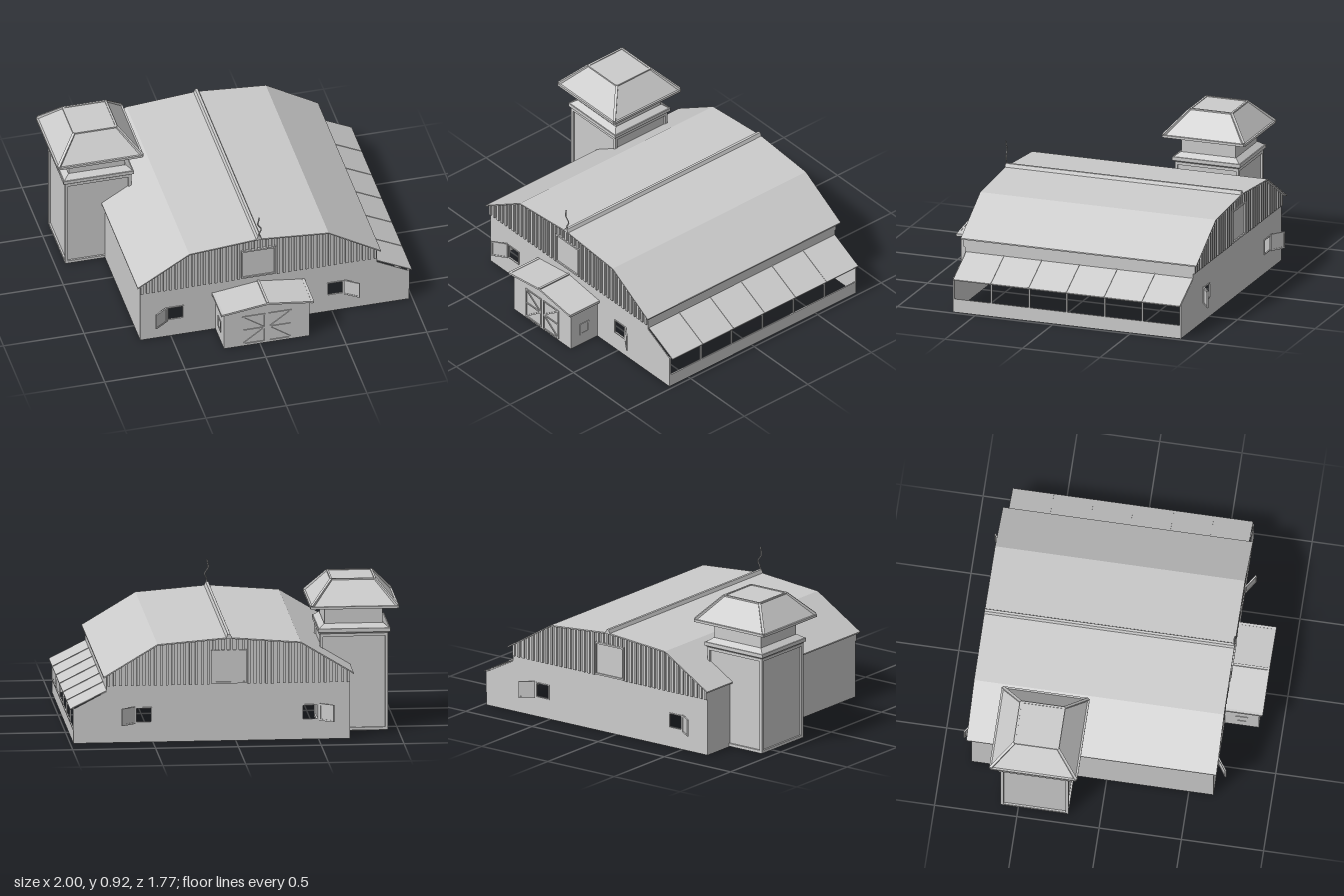
import * as THREE from 'three';

const mat = new THREE.MeshStandardMaterial({ color: 0xcccccc, flatShading: true, side: THREE.DoubleSide });
const V = (x, y, z) => new THREE.Vector3(x, y, z);

function add(parent, name, geo) {
  const m = new THREE.Mesh(geo, mat);
  m.name = name;
  parent.add(m);
  return m;
}
// box given by its min and max corners
function box(parent, name, x0, x1, y0, y1, z0, z1) {
  const m = add(parent, name, new THREE.BoxGeometry(x1 - x0, y1 - y0, z1 - z0));
  m.position.set((x0 + x1) / 2, (y0 + y1) / 2, (z0 + z1) / 2);
  return m;
}
// square bar between two points
function bar(parent, name, a, b, w = 0.012) {
  const m = new THREE.Mesh(new THREE.BoxGeometry(w, w, a.distanceTo(b)), mat);
  m.name = name;
  m.position.copy(a).lerp(b, 0.5);
  m.lookAt(b);
  parent.add(m);
}
// outline extruded along z, with optional rectangular holes [x0, x1, y0, y1]
function slab(parent, name, pts, z0, z1, holes = []) {
  const s = new THREE.Shape(pts.map(p => new THREE.Vector2(...p)));
  for (const [a, b, c, d] of holes)
    s.holes.push(new THREE.Path([[a, c], [a, d], [b, d], [b, c]].map(p => new THREE.Vector2(...p))));
  const g = new THREE.ExtrudeGeometry(s, { depth: z1 - z0, bevelEnabled: false });
  return add(parent, name, g.translate(0, 0, z0));
}
// thin roof that follows a line of points
function roofSheet(parent, name, line, t, z0, z1) {
  const lower = line.map(([x, y]) => [x, y - t]).reverse();
  return slab(parent, name, [...line, ...lower], z0, z1);
}
// rectangular picture-frame facing z
function frame(parent, name, x0, x1, y0, y1, z, w, d) {
  slab(parent, name, [[x0, y0], [x1, y0], [x1, y1], [x0, y1]], z - d / 2, z + d / 2,
    [[x0 + w, x1 - w, y0 + w, y1 - w]]);
}
// square frustum from half-width a (bottom) to b (top)
function frustum(parent, name, a, b, y0, y1, open = true) {
  const g = new THREE.CylinderGeometry(b * Math.SQRT2, a * Math.SQRT2, y1 - y0, 4, 1, open);
  g.rotateY(Math.PI / 4).translate(0, (y0 + y1) / 2, 0);
  return add(parent, name, g);
}

const CX = 0.043;
const roofLine = [[-0.71, 0.41], [-0.39, 0.605], [CX, 0.64], [0.475, 0.605], [0.8, 0.41]];
function roofY(x) {
  for (let i = 1; i < roofLine.length; i++) {
    const [a, b] = [roofLine[i - 1], roofLine[i]];
    if (x <= b[0]) return a[1] + (b[1] - a[1]) * (x - a[0]) / (b[0] - a[0]);
  }
  return 0.41;
}

// gable wall with windows, shutters, hatch and battens; s is the outward z direction
function gable(parent, s) {
  const g = new THREE.Group();
  g.name = s > 0 ? 'frontGable' : 'backGable';
  const z = s > 0 ? 0.65 : -0.82;
  const [l, r] = s > 0 ? [-0.52, 0.57] : [-0.5, 0.605];
  const windows = [[l, l + 0.1, 0.12, 0.215], [r - 0.1, r, 0.12, 0.215]];
  const base = s > 0 ? [[-0.69, 0], [-0.21, 0], [-0.21, 0.255], [CX, 0.295], [0.295, 0.255], [0.295, 0]] : [[-0.69, 0]];
  const outline = [...base, [0.98, 0], [0.98, 0.21], [0.78, 0.315], [0.78, 0.415], [0.475, 0.598],
    [CX, 0.633], [-0.39, 0.598], [-0.69, 0.415]];
  slab(g, 'gableWall', outline, Math.min(z, z - s * 0.006), Math.max(z, z - s * 0.006), windows);
  for (const [x0, x1, y0, y1] of windows) frame(g, 'windowFrame', x0, x1, y0, y1, z, 0.006, 0.01);
  // shutters swung open on the outer side of each window
  for (const [hx, d] of [[l, -1], [r, 1]]) {
    const p = new THREE.Group();
    p.name = 'shutter';
    box(p, 'shutterPanel', 0, 0.1, 0.12, 0.215, -0.002, 0.002);
    frame(p, 'shutterFrame', 0, 0.1, 0.115, 0.22, 0, 0.01, 0.009);
    p.position.set(hx + d * 0.005, 0, z + s * 0.005);
    p.rotation.y = -Math.atan2(s * 0.055, d * 0.08);
    g.add(p);
  }
  // vertical battens
  for (let i = 0; i < 42; i++) {
    const x = -0.68 + i * 0.0353;
    if (x > CX - 0.11 && x < CX + 0.1) {
      box(g, 'batten', x - 0.008, x + 0.008, 0.56, roofY(x) - 0.006, z - 0.012, z + 0.012);
    } else box(g, 'batten', x - 0.008, x + 0.008, 0.35, roofY(x) - 0.006, z - 0.012, z + 0.012);
  }
  // loft hatch
  box(g, 'hatch', CX - 0.1, CX + 0.1, 0.362, 0.553, z - 0.007, z + 0.007);
  frame(g, 'hatchFrame', CX - 0.107, CX + 0.107, 0.355, 0.56, z, 0.01, 0.03);
  parent.add(g);
}

function porch(parent) {
  const g = new THREE.Group();
  g.name = 'porch';
  slab(g, 'porchFront', [[-0.22, 0], [0.305, 0], [0.305, 0.258], [CX, 0.298], [-0.22, 0.258]], 0.852, 0.858);
  for (const x of [-0.22, 0.305]) {
    box(g, 'porchSide', x - 0.003, x + 0.003, 0, 0.258, 0.65, 0.858);
    // small side window frame
    const [y0, y1, z0, z1] = [0.075, 0.145, 0.72, 0.785];
    const c = [V(x, y0, z0), V(x, y1, z0), V(x, y1, z1), V(x, y0, z1)];
    c.forEach((p, i) => bar(g, 'sideWindowFrame', p, c[(i + 1) % 4]));
  }
  roofSheet(g, 'porchRoof', [[-0.24, 0.272], [CX, 0.31], [0.325, 0.272]], 0.012, 0.645, 0.88);
  bar(g, 'porchRidge', V(CX, 0.31, 0.645), V(CX, 0.31, 0.882), 0.014);
  for (const x of [-0.237, 0.322]) bar(g, 'porchEave', V(x, 0.267, 0.65), V(x, 0.267, 0.882), 0.016);
  for (const x of [-0.237, 0.322]) bar(g, 'porchVerge', V(x, 0.268, 0.877), V(CX, 0.306, 0.877), 0.012);
  // double door with braced leaves
  for (const s of [-1, 1]) {
    const a = CX + s * 0.013, b = CX + s * 0.15, z = 0.859;
    for (const x of [a, b]) bar(g, 'doorStile', V(x, 0.012, z), V(x, 0.22, z), 0.008);
    for (const y of [0.015, 0.117, 0.217]) bar(g, 'doorRail', V(a, y, z), V(b, y, z), 0.008);
    for (const y of [0.017, 0.215]) bar(g, 'doorBrace', V(a, 0.117, z), V(b, y, z), 0.008);
  }
  parent.add(g);
}

function leanTo(parent) {
  const g = new THREE.Group();
  g.name = 'leanTo';
  box(g, 'baseWall', 0.974, 0.98, 0, 0.08, -0.82, 0.65);
  roofSheet(g, 'leanToRoof', [[0.775, 0.325], [1, 0.212]], 0.006, -0.82, 0.642);
  bar(g, 'windowSill', V(0.977, 0.08, -0.82), V(0.977, 0.08, 0.65), 0.008);
  bar(g, 'windowHead', V(0.977, 0.21, -0.82), V(0.977, 0.21, 0.65), 0.01);
  for (let i = 0; i <= 6; i++) {
    const z = -0.816 + i * 0.2435;
    bar(g, 'mullion', V(0.977, 0.08, z), V(0.977, 0.215, z), 0.009);
    if (i % 6) bar(g, 'roofRib', V(0.778, 0.323, z), V(0.996, 0.213, z), 0.008);
  }
  parent.add(g);
}

function silo(parent) {
  const g = new THREE.Group();
  g.name = 'silo';
  const h = 0.195;
  frustum(g, 'siloBody', h, h, 0, 0.61);
  for (let i = 0; i < 4; i++) {
    const side = new THREE.Group();
    side.name = 'siloSide';
    frame(side, 'panelFrame', -0.206, 0.206, 0.004, 0.6, h + 0.004, 0.018, 0.014);
    // border bars around each roof slope
    const [a, b] = [0.258, 0.132];
    bar(side, 'roofHip', V(-a, 0.778, a), V(-b, 0.918, b), 0.016);
    bar(side, 'roofTopEdge', V(-b, 0.918, b), V(b, 0.918, b), 0.012);
    bar(side, 'roofRim', V(-0.26, 0.77, 0.26), V(0.26, 0.77, 0.26), 0.015);
    side.rotation.y = i * Math.PI / 2;
    g.add(side);
  }
  frustum(g, 'lowerCornice', 0.205, 0.218, 0.6, 0.612);
  frustum(g, 'cornice', 0.218, 0.218, 0.61, 0.632, false);
  frustum(g, 'corniceSlope', 0.212, 0.178, 0.632, 0.658);
  frustum(g, 'neck', 0.175, 0.175, 0.63, 0.75);
  frustum(g, 'roofSoffit', 0.175, 0.262, 0.745, 0.766);
  frustum(g, 'siloRoof', 0.258, 0.134, 0.775, 0.92, false);
  g.position.set(-0.733, 0, -0.402);
  parent.add(g);
}

export function createModel() {
  const root = new THREE.Group();
  root.name = 'barn';
  gable(root, 1);
  gable(root, -1);
  // long walls
  box(root, 'leftLongWall', -0.69, -0.684, 0, 0.415, -0.82, 0.65);
  box(root, 'clerestoryWall', 0.774, 0.78, 0.315, 0.415, -0.82, 0.65);
  // main roof with ridge cap
  roofSheet(root, 'mainRoof', roofLine, 0.008, -0.85, 0.67);
  slab(root, 'ridgeCap', [[CX - 0.018, 0.636], [CX + 0.018, 0.636], [CX + 0.008, 0.66], [CX - 0.008, 0.66]], -0.85, 0.672);
  // bent wire on the ridge
  const path = new THREE.CatmullRomCurve3([V(CX, 0.65, 0.668), V(CX + 0.003, 0.68, 0.668), V(CX + 0.014, 0.71, 0.664),
    V(CX - 0.008, 0.75, 0.668), V(CX - 0.004, 0.775, 0.671), V(CX, 0.8, 0.672)]);
  add(root, 'ridgeWire', new THREE.TubeGeometry(path, 24, 0.004, 6));
  porch(root);
  leanTo(root);
  silo(root);
  return root;
}
